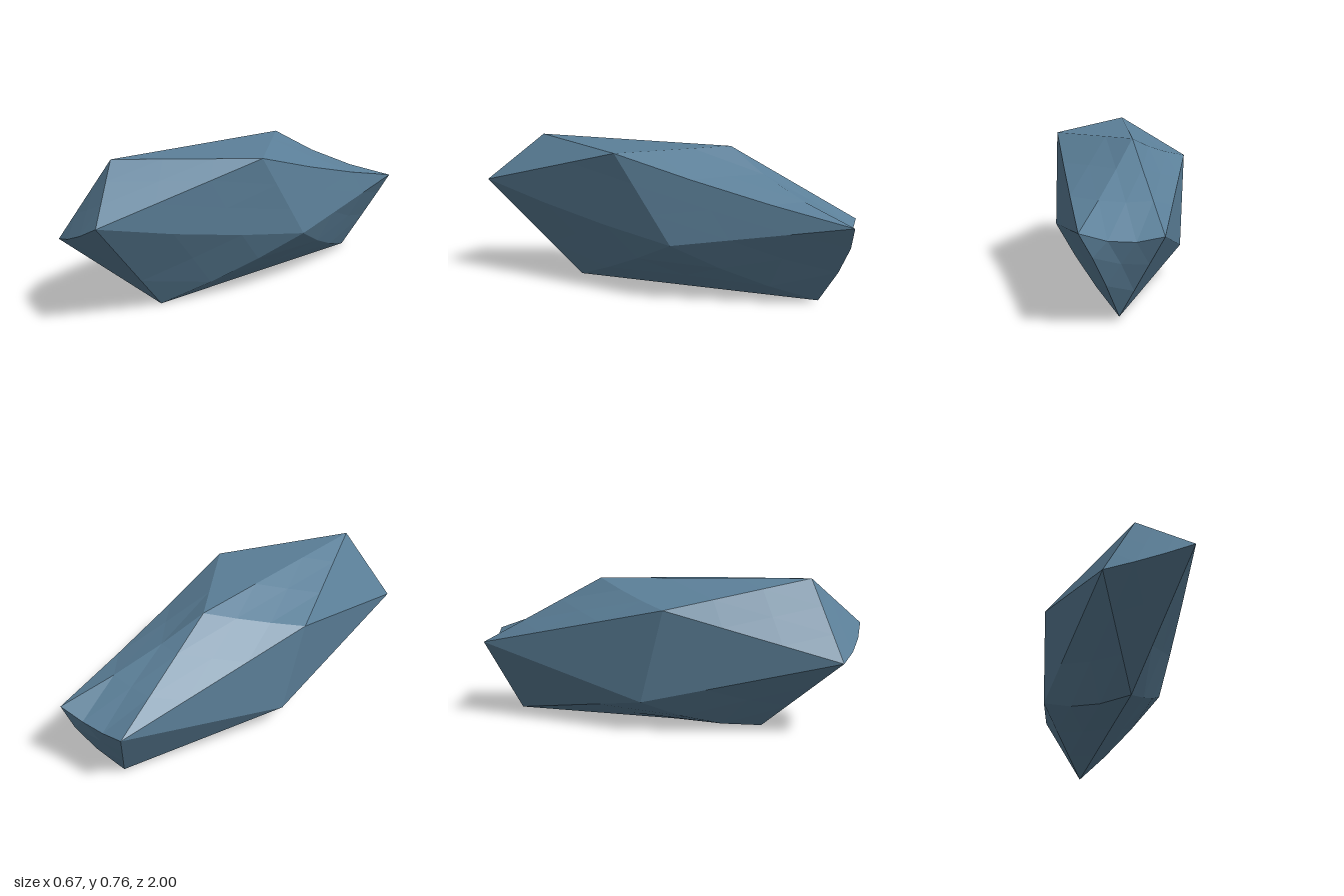
import * as THREE from 'three';

// Twelve main corners of the boulder
const corners = {
  A: [-0.02, 0.76, 0.77], B: [0.19, 0.525, 1.0], C: [-0.21, 0.375, 0.95],
  D: [0.335, 0.73, 0.155], E: [-0.335, 0.615, 0.1], F: [-0.05, 0.745, -0.31],
  G: [0.19, 0.43, -1.0], H: [-0.17, 0.4, -0.93], I: [0.01, 0, 0.53],
  J: [0.33, 0.295, -0.14], K: [-0.31, 0.155, -0.02], L: [0.02, 0.015, -0.8],
};

// Twenty faces joining the corners
const faces = ['ABC', 'ABD', 'ACE', 'ADF', 'AEF', 'BCI', 'BDJ', 'BIJ', 'CEK', 'CIK',
  'DFG', 'DGJ', 'EFH', 'EHK', 'FGH', 'GHL', 'GJL', 'HKL', 'IJL', 'IKL'];

// Gentle bends: offset of the points along an edge
const bends = {
  BC: [0, -0.013, 0.015], IK: [0, -0.03, 0], GH: [0, -0.03, 0.01],
  GL: [0, 0.03, -0.04], FG: [0, -0.015, 0.03], DG: [0, -0.012, 0],
  JL: [0, -0.02, 0], BJ: [0, -0.015, 0], EF: [0.01, -0.01, 0], IJ: [0.01, -0.01, 0],
};

const corner = (k) => new THREE.Vector3(...corners[k]);

// Point one or two thirds of the way from p to q, including the edge's bend
function edgePoint(p, q, t) {
  const point = corner(p).lerp(corner(q), t);
  const bend = bends[p < q ? p + q : q + p];
  return bend ? point.add(new THREE.Vector3(...bend)) : point;
}

function createRockGeometry() {
  const middle = new THREE.Vector3(0, 0.38, 0);
  const positions = [];

  for (const face of faces) {
    let [a, b, c] = face;
    // Turn the face outwards
    const normal = corner(b).sub(corner(a)).cross(corner(c).sub(corner(a)));
    if (normal.dot(corner(a).sub(middle)) < 0) [b, c] = [c, b];

    const ab = [1 / 3, 2 / 3].map((t) => edgePoint(a, b, t));
    const bc = [1 / 3, 2 / 3].map((t) => edgePoint(b, c, t));
    const ca = [1 / 3, 2 / 3].map((t) => edgePoint(c, a, t));
    const centre = [...ab, ...bc, ...ca]
      .reduce((sum, p) => sum.add(p), new THREE.Vector3()).divideScalar(6);

    // Three corner triangles and a six-sided fan
    const ring = [...ab, ...bc, ...ca];
    const triangles = [
      [corner(a), ab[0], ca[1]], [corner(b), bc[0], ab[1]], [corner(c), ca[0], bc[1]],
    ];
    ring.forEach((p, i) => triangles.push([centre, p, ring[(i + 1) % 6]]));
    triangles.flat().forEach((p) => positions.push(p.x, p.y, p.z));
  }

  const geometry = new THREE.BufferGeometry();
  geometry.setAttribute('position', new THREE.Float32BufferAttribute(positions, 3));
  geometry.computeVertexNormals();
  return geometry;
}

export function createModel() {
  const stone = new THREE.MeshStandardMaterial({ color: 0x5b7f98, flatShading: true });
  stone.name = 'blue grey stone';

  const rock = new THREE.Mesh(createRockGeometry(), stone);
  rock.name = 'boulder';

  const group = new THREE.Group();
  group.name = 'rock';
  group.add(rock);
  return group;
}
